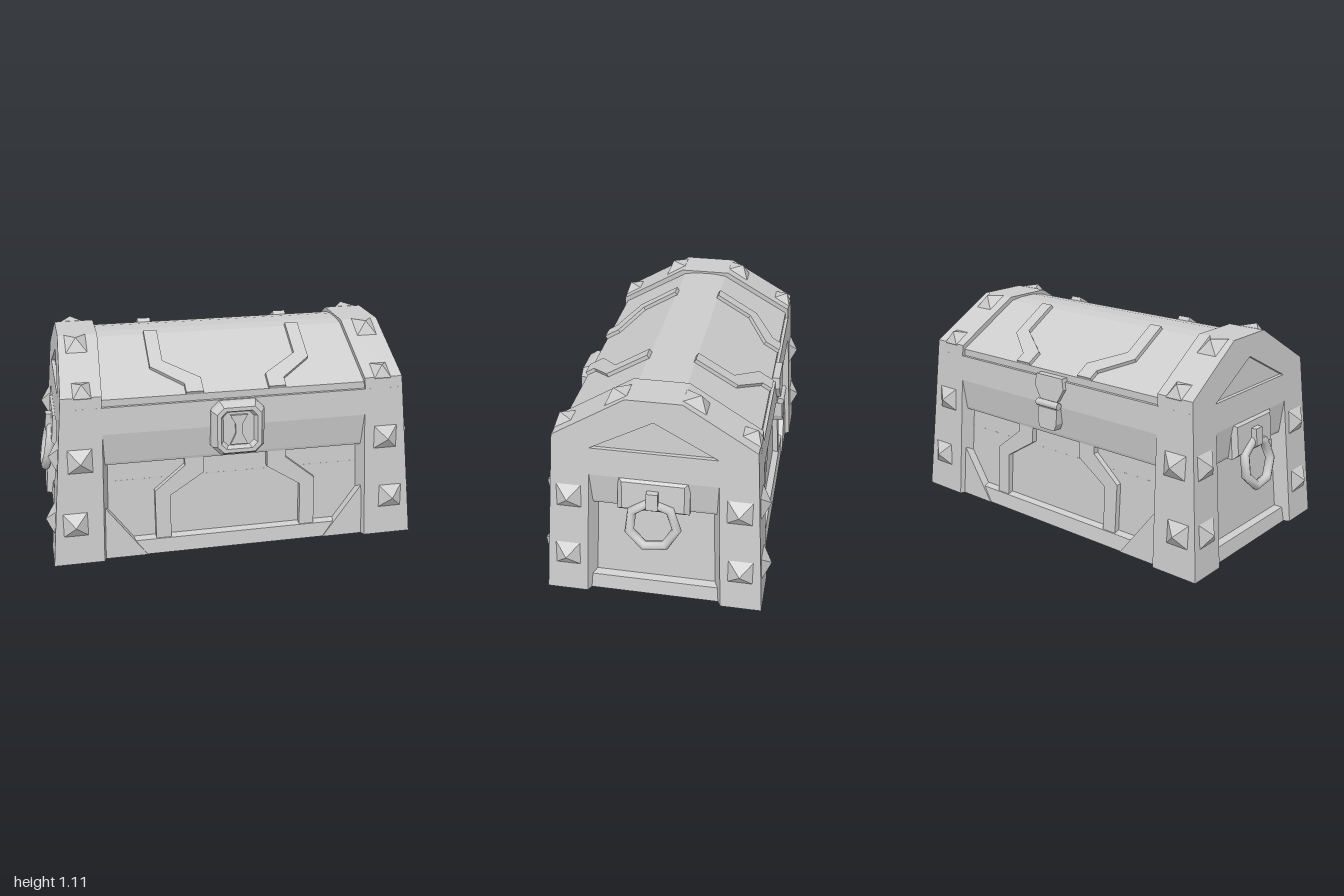
import * as THREE from 'three';

const grey = new THREE.MeshStandardMaterial({ color: 0xcccccc, side: THREE.DoubleSide });
grey.name = 'stone grey';

// The walls lean inwards: half length and half depth at height y
const xf = y => 0.97 - 0.091 * y;
const zf = y => 0.5555 - 0.0615 * y;

// Each face maps (across, up, outward offset) into space
const faces = {
  front: (u, v, d) => [u, v, zf(v) + d],
  end: (u, v, d) => [xf(v) + d, v, -u],
  lid: (u, v, d) => [u, 1.095 - 0.598 * (-v - 0.12) + 0.858 * d, -v + 0.513 * d],
};

function mapped(geo, face) {
  const p = geo.attributes.position;
  for (let i = 0; i < p.count; i++) p.setXYZ(i, ...faces[face](p.getX(i), p.getY(i), p.getZ(i)));
  geo.computeVertexNormals();
  return geo;
}

function part(group, name, geo) {
  const mesh = new THREE.Mesh(geo, grey);
  mesh.name = name;
  group.add(mesh);
  return mesh;
}

// Skin through outlines [points, offset] with a cap on the last one
function loft(face, rings) {
  const toV = pts => pts.map(([u, v]) => new THREE.Vector2(u, v));
  if (THREE.ShapeUtils.isClockWise(toV(rings[0][0]))) rings = rings.map(([p, d]) => [[...p].reverse(), d]);
  const pos = [];
  const add = (p, d) => pos.push(p[0], p[1], d);
  for (let i = 0; i + 1 < rings.length; i++) {
    const [a, da] = rings[i], [b, db] = rings[i + 1];
    a.forEach((_, j) => {
      const k = (j + 1) % a.length;
      add(a[j], da); add(a[k], da); add(b[k], db);
      add(a[j], da); add(b[k], db); add(b[j], db);
    });
  }
  const [top, dt] = rings[rings.length - 1];
  for (const tri of THREE.ShapeUtils.triangulateShape(toV(top), [])) tri.forEach(i => add(top[i], dt));
  const geo = new THREE.BufferGeometry();
  geo.setAttribute('position', new THREE.Float32BufferAttribute(pos, 3));
  return mapped(geo, face);
}

const slab = (face, pts, d0, d1) => loft(face, [[pts, d0], [pts, d1]]);
const flip = pts => pts.map(([u, v]) => [-u, v]);
const rect = (u, v, a, b = a) => [[u - a, v - b], [u + a, v - b], [u + a, v + b], [u - a, v + b]];
const octagon = (v, a, b, c) => [[-a + c, v - b], [a - c, v - b], [a, v - b + c], [a, v + b - c],
  [a - c, v + b], [-a + c, v + b], [-a, v + b - c], [-a, v - b + c]];
const shape = pts => new THREE.Shape(pts.map(p => new THREE.Vector2(...p)));

// A profile of (offset, height) run along a face
function rail(face, profile, w) {
  const geo = new THREE.ExtrudeGeometry(shape(profile), { depth: 2 * w, bevelEnabled: false });
  geo.translate(0, 0, -w).rotateY(-Math.PI / 2);
  // the turn above sends offset to +z and length to -x
  return mapped(geo, face);
}

function spike(g, face, u, v, d = 0, r = 0.062) {
  part(g, 'stud', loft(face, [[rect(u, v, r), d - 0.01], [rect(u, v, r), d], [rect(u, v, 0.001), d + 0.045]]));
}

// Everything shared by the front and back, and by both ends
function half() {
  const g = new THREE.Group();
  const wall = f => [[-f(0.01) + 0.07, 0.01], [f(0.01) - 0.07, 0.01], [f(0.84) - 0.07, 0.84], [-f(0.84) + 0.07, 0.84]];
  part(g, 'longWall', loft('front', [[wall(xf), -0.07]]));
  part(g, 'endWall', loft('end', [[wall(zf), -0.07]]));

  // Rim band, tucked in below the corner posts' tops
  const band = [[-xf(0.7), 0.7], [xf(0.7), 0.7], [xf(0.84), 0.84], [-xf(0.84), 0.84]];
  part(g, 'rimBand', slab('front', band, -0.08, 0));
  const tuck = [[-0.08, 0.705], [0, 0.705], [-0.03, 0.54], [-0.035, 0.525], [-0.08, 0.52]];
  part(g, 'rimLip', rail('front', tuck, 0.70));
  part(g, 'endRimLip', rail('end', tuck, 0.33));

  // Base trim
  part(g, 'baseTrim', rail('front', [[-0.07, 0.01], [-0.03, 0.01], [-0.035, 0.09], [-0.07, 0.1]], 0.70));
  part(g, 'endBaseTrim', rail('end', [[-0.07, 0.01], [-0.03, 0.01], [-0.035, 0.09], [-0.07, 0.1]], 0.335));

  for (const m of [p => p, flip]) {
    // Corner posts with bevelled inner edges
    const post = (f, a, b, e) => [
      [m([[a - e, 0.7], [f(0.7), 0.7], [f(0.01), 0.01], [b - e, 0.01]]), -0.07],
      [m([[a, 0.7], [f(0.7), 0.7], [f(0.01), 0.01], [b, 0.01]]), 0]];
    part(g, 'cornerPost', loft('front', post(xf, 0.69, 0.71, 0.028)));
    part(g, 'endCornerPost', loft('end', post(zf, 0.32, 0.345, 0.035)));
    part(g, 'gusset', slab('front', m([[0.69, 0.29], [0.48, 0.01], [0.71, 0.01]]), -0.07, -0.025));

    // Stepped straps on the wall and lid
    const wallStrap = [[0.43, 0.09], [0.35, 0.09], [0.35, 0.325], [0.17, 0.44], [0.17, 0.53], [0.27, 0.53], [0.27, 0.485], [0.43, 0.355]];
    part(g, 'wallStrap', slab('front', m(wallStrap), -0.07, -0.04));
    const lidStrap = [[0.42, -0.115], [0.35, -0.115], [0.35, -0.3], [0.17, -0.41], [0.17, -0.488], [0.26, -0.488], [0.26, -0.44], [0.42, -0.33]];
    part(g, 'lidStrap', slab('lid', m(lidStrap), -0.01, 0.02));

    // Pyramid studs
    const s = m([[1, 0]])[0][0];
    spike(g, 'front', s * 0.808, 0.57);
    spike(g, 'front', s * 0.848, 0.23);
    spike(g, 'end', s * 0.425, 0.57);
    spike(g, 'end', s * 0.44, 0.23);
    spike(g, 'lid', s * 0.78, -0.175, 0.027, 0.055);
    spike(g, 'lid', s * 0.78, -0.446, 0.027, 0.045);
  }

  // Lid end block and gable with a sunken triangle
  const gable = [[-0.512, 0.7], [0.512, 0.7], [0.5, 0.9], [0.137, 1.117], [-0.137, 1.117], [-0.5, 0.9]];
  const ring = shape(gable);
  ring.holes.push(new THREE.Path([[-0.315, 0.845], [0, 1.01], [0.315, 0.845]].map(p => new THREE.Vector2(...p))));
  const gableGeo = new THREE.ExtrudeGeometry(ring, { depth: 0.02, bevelEnabled: false });
  part(g, 'gable', mapped(gableGeo.translate(0, 0, -0.02), 'end'));
  const inner = loft('end', [[gable, -0.205], [gable, -0.02]]);
  part(g, 'lidEndBlock', inner);
  part(g, 'lidEndBlockInside', loft('end', [[gable, -0.205]]));

  // Handle plate, bracket and hanging ring
  part(g, 'handlePlate', loft('end', [[rect(0, 0.613, 0.18, 0.092), -0.05], [rect(0, 0.613, 0.18, 0.092), -0.01], [rect(0, 0.613, 0.155, 0.073), 0.012]]));
  part(g, 'handleBracket', slab('end', rect(0, 0.605, 0.029, 0.045), 0, 0.042));
  const handle = part(g, 'handleRing', new THREE.TorusGeometry(0.122, 0.025, 8, 7));
  handle.geometry.rotateZ(Math.PI / 2 + 0.12).rotateY(Math.PI / 2).rotateZ(0.2);
  handle.position.set(0.95, 0.467, 0);
  return g;
}

export function createModel() {
  const model = new THREE.Group();
  model.name = 'chest';
  for (const turn of [0, Math.PI]) {
    const h = half();
    h.name = turn ? 'backAndRightSide' : 'frontAndLeftSide';
    h.rotation.y = turn;
    model.add(h);
  }

  // Lid barrel
  const lid = new THREE.ExtrudeGeometry(shape([[-0.487, 0.83], [0.487, 0.83], [0.487, 0.876], [0.12, 1.095], [0.05, 1.105],
    [-0.05, 1.105], [-0.12, 1.095], [-0.487, 0.876]]), { depth: 1.38, bevelEnabled: false });
  part(model, 'lid', lid.translate(0, 0, -0.69).rotateY(Math.PI / 2));

  // Raised floor inside the open base
  part(model, 'floor', new THREE.BoxGeometry(1.72, 0.02, 0.92)).position.y = 0.41;

  // Front latch with a sunken face and keyhole
  const latch = new THREE.Group();
  latch.name = 'latch';
  part(latch, 'latchFrame', loft('front', [
    [octagon(0.695, 0.14, 0.142, 0.045), -0.02], [octagon(0.695, 0.137, 0.14, 0.045), 0.025],
    [octagon(0.695, 0.115, 0.12, 0.035), 0.06], [octagon(0.695, 0.095, 0.1, 0.028), 0.06],
    [octagon(0.695, 0.08, 0.088, 0.024), 0.035]]));
  part(latch, 'keyhole', slab('front', [[-0.045, 0.615], [0.045, 0.615], [0.018, 0.67], [0.018, 0.72], [0.045, 0.77],
    [-0.045, 0.77], [-0.018, 0.72], [-0.018, 0.67]], 0.03, 0.048));
  model.add(latch);

  // Back hinge
  const hinge = new THREE.Group();
  hinge.name = 'hinge';
  hinge.rotation.y = Math.PI;
  part(hinge, 'hingeTop', slab('front', [[-0.06, 0.73], [0.06, 0.73], [0.1, 0.8], [0.09, 0.86], [-0.09, 0.86], [-0.1, 0.8]], -0.02, 0.022));
  const low = [[-0.05, 0.575], [0.05, 0.575], [0.065, 0.61], [0.065, 0.69], [-0.065, 0.69], [-0.065, 0.61]];
  part(hinge, 'hingeBottom', slab('front', low, -0.02, 0.03));
  const pin = part(hinge, 'hingePin', new THREE.CylinderGeometry(0.019, 0.019, 0.15, 10));
  pin.rotation.z = Math.PI / 2;
  pin.position.set(0, 0.71, 0.535);
  model.add(hinge);
  return model;
}
